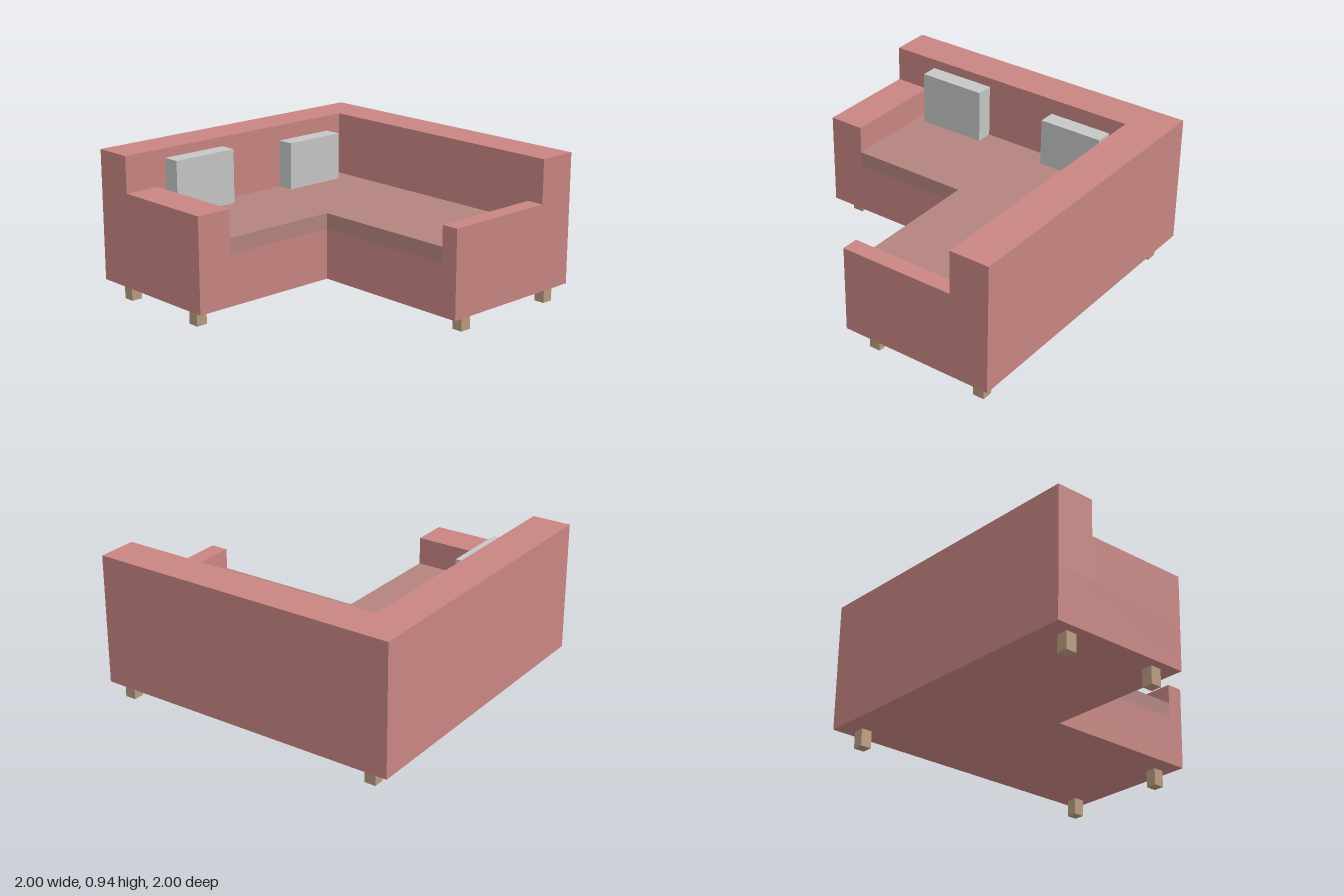
import * as THREE from 'three';

const mat = (name, color) => {
  const m = new THREE.MeshStandardMaterial({ color });
  m.name = name;
  return m;
};

export function createModel() {
  const sofa = new THREE.Group();
  sofa.name = 'cornerSofa';

  const upholstery = mat('rose upholstery', 0xc98683);
  const seatFabric = mat('dusty seat fabric', 0xb3847f);
  const pillowFabric = mat('pale grey pillow', 0xc5c7c6);
  const wood = mat('light wood', 0xbb9c80);

  const add = (name, geometry, material) => {
    const mesh = new THREE.Mesh(geometry, material);
    mesh.name = name;
    sofa.add(mesh);
  };

  // Box given by its limits on each axis
  const box = (name, material, [x0, x1], [y0, y1], [z0, z1]) => {
    const g = new THREE.BoxGeometry(x1 - x0, y1 - y0, z1 - z0);
    g.translate((x0 + x1) / 2, (y0 + y1) / 2, (z0 + z1) / 2);
    add(name, g, material);
  };

  // Upright prism over a floor plan of [x, z] corners
  const prism = (name, material, plan, y0, y1) => {
    const shape = new THREE.Shape(plan.map(([x, z]) => new THREE.Vector2(x, -z)));
    const g = new THREE.ExtrudeGeometry(shape, { depth: y1 - y0, bevelEnabled: false });
    g.rotateX(-Math.PI / 2).translate(0, y0, 0);
    add(name, g, material);
  };

  const floor = 0.11, cushionBottom = 0.43, seatTop = 0.53, backTop = 0.935;
  const backZ = -0.75, sideX = 0.745, armX = -0.77, armZ = 0.89, innerZ = -0.07;

  // L-shaped base, seat cushion and backrest
  prism('base', upholstery,
    [[-1, -1], [1, -1], [1, 1], [0, 1], [0, innerZ], [-1, innerZ]], floor, cushionBottom);
  prism('seatCushion', seatFabric,
    [[armX, backZ], [sideX, backZ], [sideX, armZ], [0, armZ], [0, innerZ], [armX, innerZ]],
    cushionBottom, seatTop);
  prism('backrest', upholstery,
    [[-1, -1], [1, -1], [1, 1], [sideX, 1], [sideX, backZ], [-1, backZ]], cushionBottom, backTop);

  // Armrests closing both ends
  box('rightArmrest', upholstery, [-1, armX], [cushionBottom, 0.705], [backZ, innerZ]);
  box('frontArmrest', upholstery, [0, sideX], [cushionBottom, 0.66], [armZ, 1]);

  // Pillows leaning on the back
  box('largePillow', pillowFabric, [-0.705, -0.26], [seatTop, 0.875], [backZ, -0.64]);
  box('smallPillow', pillowFabric, [0.215, 0.635], [seatTop, 0.835], [backZ, -0.64]);

  // Square legs
  const half = 0.036;
  for (const [x, z] of [[-0.905, -0.85], [-0.905, -0.213], [0.9, -0.85], [0.9, 0.905], [0.158, 0.905]]) {
    box('leg', wood, [x - half, x + half], [0, floor], [z - half, z + half]);
  }

  return sofa;
}
